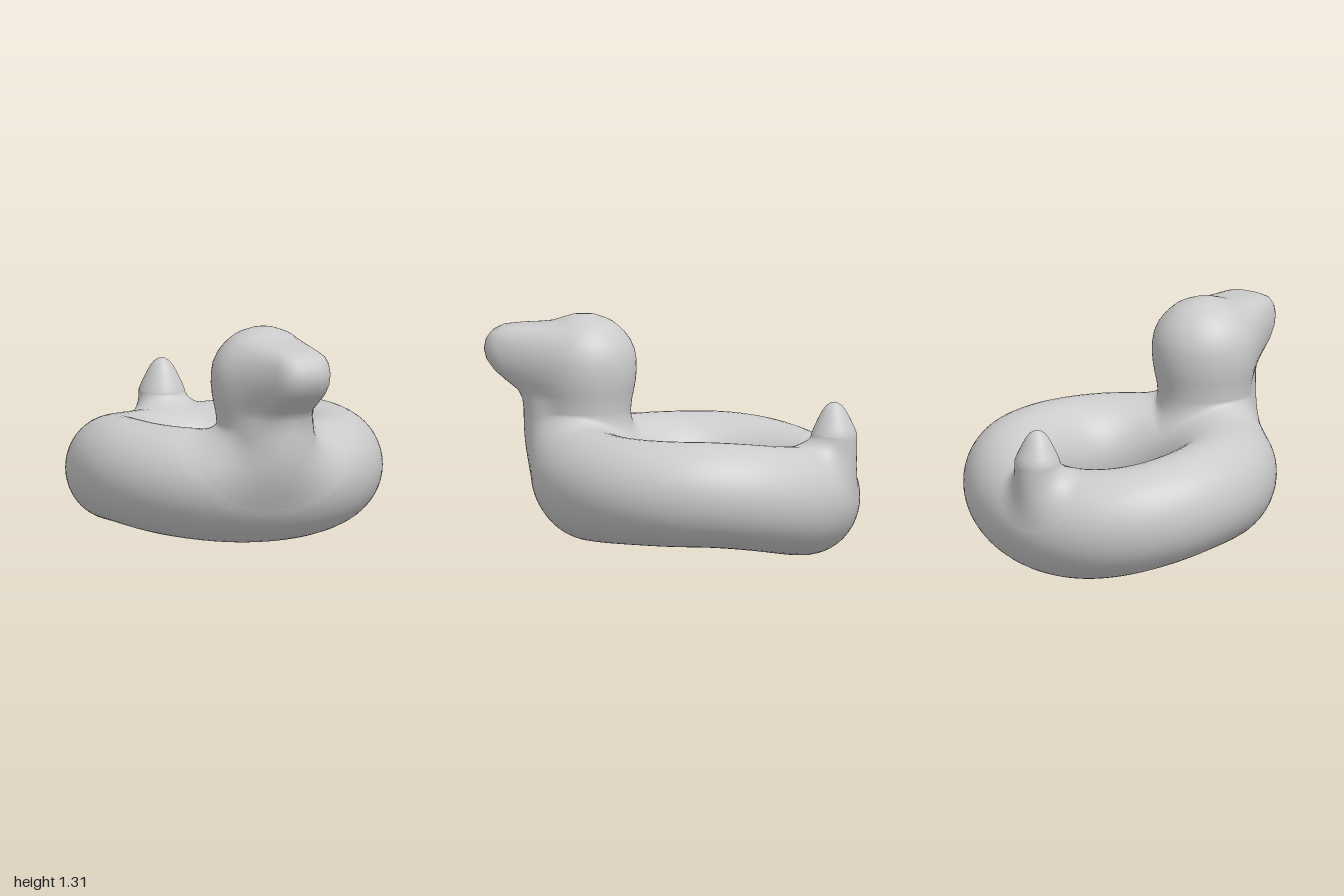
import * as THREE from 'three';

const material = new THREE.MeshStandardMaterial({ color: 0xcccccc });
const SIDES = 72;

// Smooth surface through rows of points; every row is a closed loop
function skin(rows, closed) {
  const n = rows[0].length, index = [];
  const id = (i, j) => (j % rows.length) * n + (i % n);
  for (let j = 0; j < (closed ? rows.length : rows.length - 1); j++)
    for (let i = 0; i < n; i++) {
      const a = id(i, j), b = id(i + 1, j), c = id(i + 1, j + 1), d = id(i, j + 1);
      index.push(a, b, c, a, c, d);
    }
  const geometry = new THREE.BufferGeometry().setFromPoints(rows.flat());
  geometry.setIndex(index);
  geometry.computeVertexNormals();
  return geometry;
}

// Inflated ring: a slightly oval torus that sags under the tail and bulges at the chest
function ringPoint(a, b) {
  const sag = Math.max(0, Math.cos(a - Math.PI - 0.33)) ** 2;
  const chest = Math.max(0, Math.cos(a - 0.66)) ** 2;
  const bulge = 0.055 * chest ** 2 * Math.max(0, Math.cos(b + 0.6)) ** 2;
  const r = (0.285 + 0.022 * chest) * Math.cos(b) + bulge;
  return new THREE.Vector3(
    -0.1 + (0.614 + r) * Math.cos(a),
    0.41 - 0.1 * sag - 0.02 * chest - (0.295 + 0.015 * sag + 0.025 * chest) * Math.sin(b),
    (0.58 + r) * Math.sin(a),
  );
}

function ringGeometry() {
  const loop = (n, fn) => Array.from({ length: n }, (_, k) => fn((k / n) * Math.PI * 2));
  return skin(loop(48, (b) => loop(112, (a) => ringPoint(a, b))), true);
}

// Adds rows that flow from the last row of a part into the ring.
// The footprint is an oval in ring angles, centred on (a0, b0) with half sizes (da, db).
function blendIntoRing(rows, start, { a0, b0, da, db }) {
  const steps = 16;
  const curves = rows[rows.length - 1].map((top, i) => {
    const t = start + (i / SIDES) * Math.PI * 2 - a0;
    const foot = (k) => ringPoint(a0 + k * da * Math.sin(t), b0 + k * db * Math.cos(t));
    const end = foot(1), reach = 0.45 * top.distanceTo(end);
    const below = top.clone();
    below.y -= 0.45 * (top.y - end.y);
    const along = foot(0.9).sub(end).setLength(reach).add(end);
    return new THREE.CubicBezierCurve3(top, below, along, end);
  });
  for (let s = 1; s <= steps; s++) rows.push(curves.map((c) => c.getPoint(s / steps)));
}

// Head, beak and neck: each level is the hull of a head circle and two beak corner circles
// level: [y, head radius, beak x, corner radius, corner spread]
const headLevels = [
  [1.31, 0.001, 0.46, 0.001, 0], [1.302, 0.07, 0.47, 0.065, 0], [1.28, 0.13, 0.5, 0.1, 0],
  [1.262, 0.165, 0.55, 0.1, 0], [1.25, 0.18, 0.64, 0.09, 0.01], [1.242, 0.19, 0.74, 0.08, 0.02],
  [1.23, 0.203, 0.81, 0.085, 0.035], [1.205, 0.228, 0.84, 0.1, 0.045],
  [1.165, 0.258, 0.853, 0.115, 0.045], [1.11, 0.283, 0.857, 0.122, 0.045],
  [1.05, 0.293, 0.845, 0.122, 0.045], [0.99, 0.294, 0.805, 0.122, 0.045],
  [0.93, 0.288, 0.74, 0.122, 0.045], [0.88, 0.279, 0.675, 0.13, 0.04],
  [0.83, 0.268, 0.61, 0.18, 0.02], [0.77, 0.262, 0.565, 0.225, 0],
];

function headGeometry() {
  const cx = 0.46, cz = 0.41, axis = 0.44, start = axis + Math.PI;
  const rows = headLevels.map(([y, headR, beakX, r, spread]) => {
    const d = (beakX - cx) / Math.cos(axis);
    const circles = [[0, 0, headR], [d, -spread, r], [d, spread, r]].map(([u, v, radius]) => ({
      x: cx + u * Math.cos(axis) - v * Math.sin(axis),
      z: cz + u * Math.sin(axis) + v * Math.cos(axis),
      radius,
    }));
    const outline = Array.from({ length: 241 }, (_, k) => {
      const t = start + (k / 240) * Math.PI * 2, nx = Math.cos(t), nz = Math.sin(t);
      const support = (c) => nx * c.x + nz * c.z + c.radius;
      const c = circles.reduce((best, o) => (support(o) > support(best) + 1e-9 ? o : best));
      return new THREE.Vector2(c.x + c.radius * nx, c.z + c.radius * nz);
    });
    const spaced = new THREE.Path().setFromPoints(outline).getSpacedPoints(SIDES);
    return spaced.slice(0, SIDES).map((p) => new THREE.Vector3(p.x, y, p.y));
  });
  blendIntoRing(rows, start, { a0: 0.66, b0: -1.1, da: 0.62, db: 1.5 });
  return skin(rows, false);
}

// Pointed tail with a rounded tip: [radius, y] from the tip down
function tailGeometry() {
  const profile = [
    [0, 0.872], [0.02, 0.868], [0.044, 0.853], [0.066, 0.825], [0.09, 0.78],
    [0.114, 0.73], [0.128, 0.695],
  ];
  const rows = profile.map(([r, y]) => Array.from({ length: SIDES }, (_, i) => {
    const t = (i / SIDES) * Math.PI * 2;
    return new THREE.Vector3(-0.78 + r * Math.cos(t), y, -0.36 + r * Math.sin(t));
  }));
  blendIntoRing(rows, 0, { a0: Math.PI + 0.49, b0: -0.95, da: 0.33, db: 0.98 });
  return skin(rows, false);
}

export function createModel() {
  const model = new THREE.Group();
  model.name = 'duckSwimRing';
  const parts = { ring: ringGeometry(), headAndNeck: headGeometry(), tail: tailGeometry() };
  for (const [name, geometry] of Object.entries(parts)) {
    const mesh = new THREE.Mesh(geometry, material);
    mesh.name = name;
    model.add(mesh);
  }
  return model;
}
